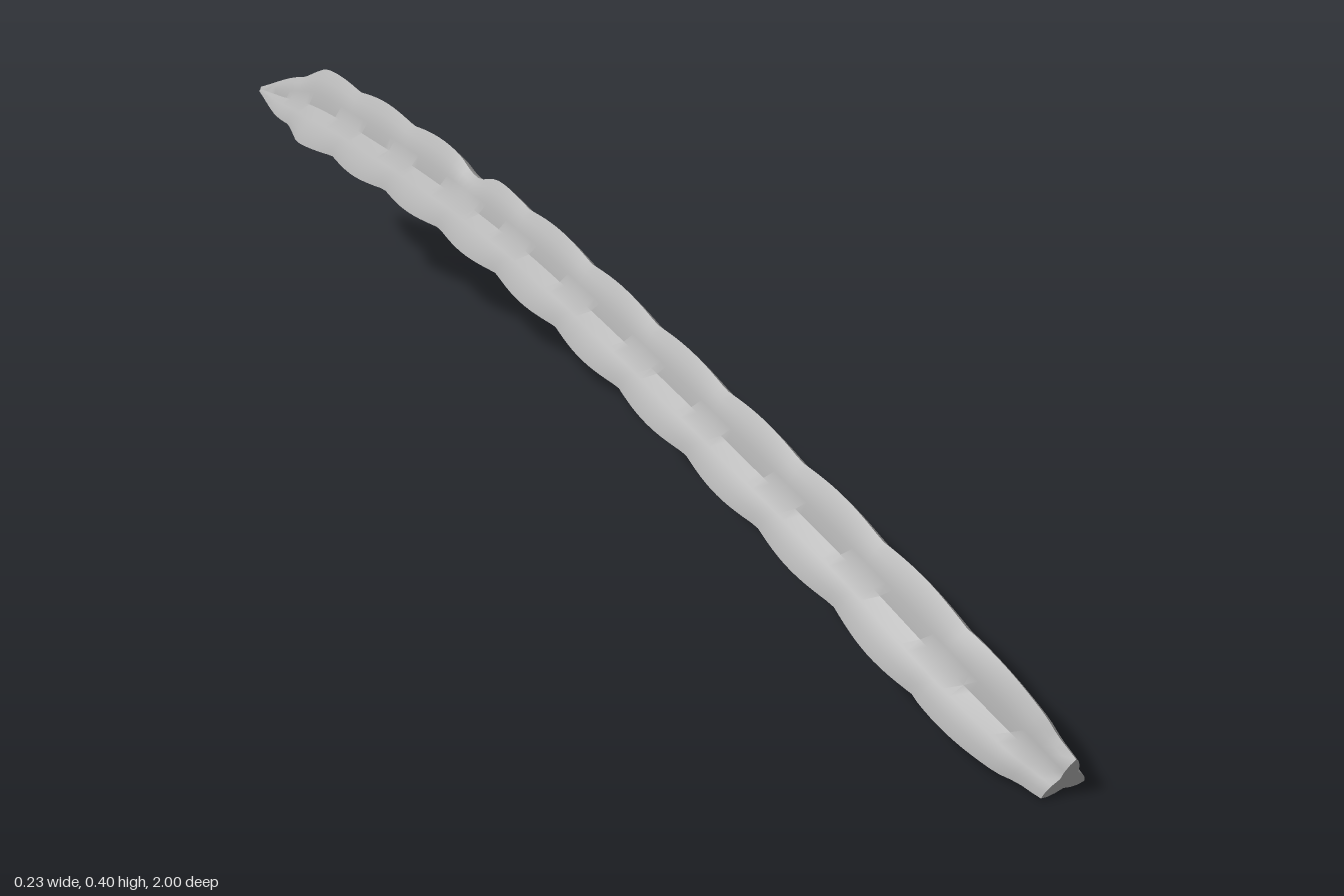
import * as THREE from 'three';
import { toCreasedNormals } from 'three/addons/utils/BufferGeometryUtils.js';

// Centre line from the cut front end to the tapering back tip: x, y, z, rib radius
const SPINE = [
  [0.07, 0.023, 0.987, 0.041], [0.062, 0.042, 0.93, 0.06], [0.043, 0.09, 0.8, 0.074],
  [0.029, 0.148, 0.6, 0.071], [0.015, 0.196, 0.4, 0.07], [0.004, 0.238, 0.2, 0.069],
  [-0.005, 0.275, 0, 0.069], [-0.013, 0.303, -0.2, 0.07], [-0.023, 0.318, -0.4, 0.07],
  [-0.034, 0.323, -0.6, 0.072], [-0.048, 0.32, -0.8, 0.073], [-0.065, 0.307, -0.91, 0.038],
  [-0.08, 0.299, -1, 0.005],
];

// One rib of the three-ribbed cross-section: degrees, radius ratio, scallop weight
const RIB = [[0, 1, 1], [12, 0.83, 0.75], [30, 0.6, 0.3], [60, 0.41, 0], [90, 0.6, 0.3], [108, 0.83, 0.75]];
const RINGS = 144;

function radiusAt(z) {
  for (let i = 1; i < SPINE.length; i++) {
    const a = SPINE[i - 1], b = SPINE[i];
    if (z >= b[2]) return THREE.MathUtils.lerp(a[3], b[3], THREE.MathUtils.clamp((a[2] - z) / (a[2] - b[2]), 0, 1));
  }
  return SPINE[SPINE.length - 1][3];
}

function stemGeometry() {
  const curve = new THREE.CatmullRomCurve3(SPINE.map(p => new THREE.Vector3(p[0], p[1], p[2])));
  const positions = [], index = [];
  const n = RIB.length * 3;

  for (let i = 0; i <= RINGS; i++) {
    const c = curve.getPointAt(i / RINGS), t = curve.getTangentAt(i / RINGS);
    const len = Math.hypot(t.y, t.z);
    const upY = -t.z / len, upZ = t.y / len;
    const radius = radiusAt(c.z);
    // Rounded swellings along each rib, with tight dips between them
    const swell = 0.13 * (Math.abs(Math.sin(Math.PI * (c.z - 0.79) / 0.165)) - 0.65);
    // A bite out of the top rib
    const bite = 0.24 * Math.exp(-(((c.z + 0.34) / 0.035) ** 2));
    for (let k = 0; k < 3; k++) {
      RIB.forEach(([deg, ratio, weight], m) => {
        const a = THREE.MathUtils.degToRad(deg + k * 120);
        const onTop = (k === 0 && m < 3) || (k === 2 && m > 3);
        const r = radius * ratio * (1 + weight * (swell - (onTop ? bite : 0)));
        const h = r * Math.cos(a);
        positions.push(c.x + r * Math.sin(a), c.y + h * upY, c.z + h * upZ);
      });
    }
  }

  for (let i = 0; i < RINGS; i++) {
    for (let j = 0; j < n; j++) {
      const a = i * n + j, b = i * n + (j + 1) % n;
      index.push(a, b, a + n, b, b + n, a + n);
    }
  }

  // Flat end caps
  const first = curve.getPointAt(0), last = curve.getPointAt(1);
  const front = positions.length / 3, back = front + 1, end = RINGS * n;
  positions.push(first.x, first.y, first.z, last.x, last.y, last.z);
  for (let j = 0; j < n; j++) {
    const k = (j + 1) % n;
    index.push(front, k, j, back, end + j, end + k);
  }

  const geometry = new THREE.BufferGeometry();
  geometry.setAttribute('position', new THREE.Float32BufferAttribute(positions, 3));
  geometry.setIndex(index);
  return toCreasedNormals(geometry, 0.7);
}

export function createModel() {
  const group = new THREE.Group();
  group.name = 'ribbedStem';
  const grey = new THREE.MeshStandardMaterial({ color: 0xb4b4b4 });
  grey.name = 'stemGrey';
  const stem = new THREE.Mesh(stemGeometry(), grey);
  stem.name = 'stem';
  group.add(stem);
  return group;
}
